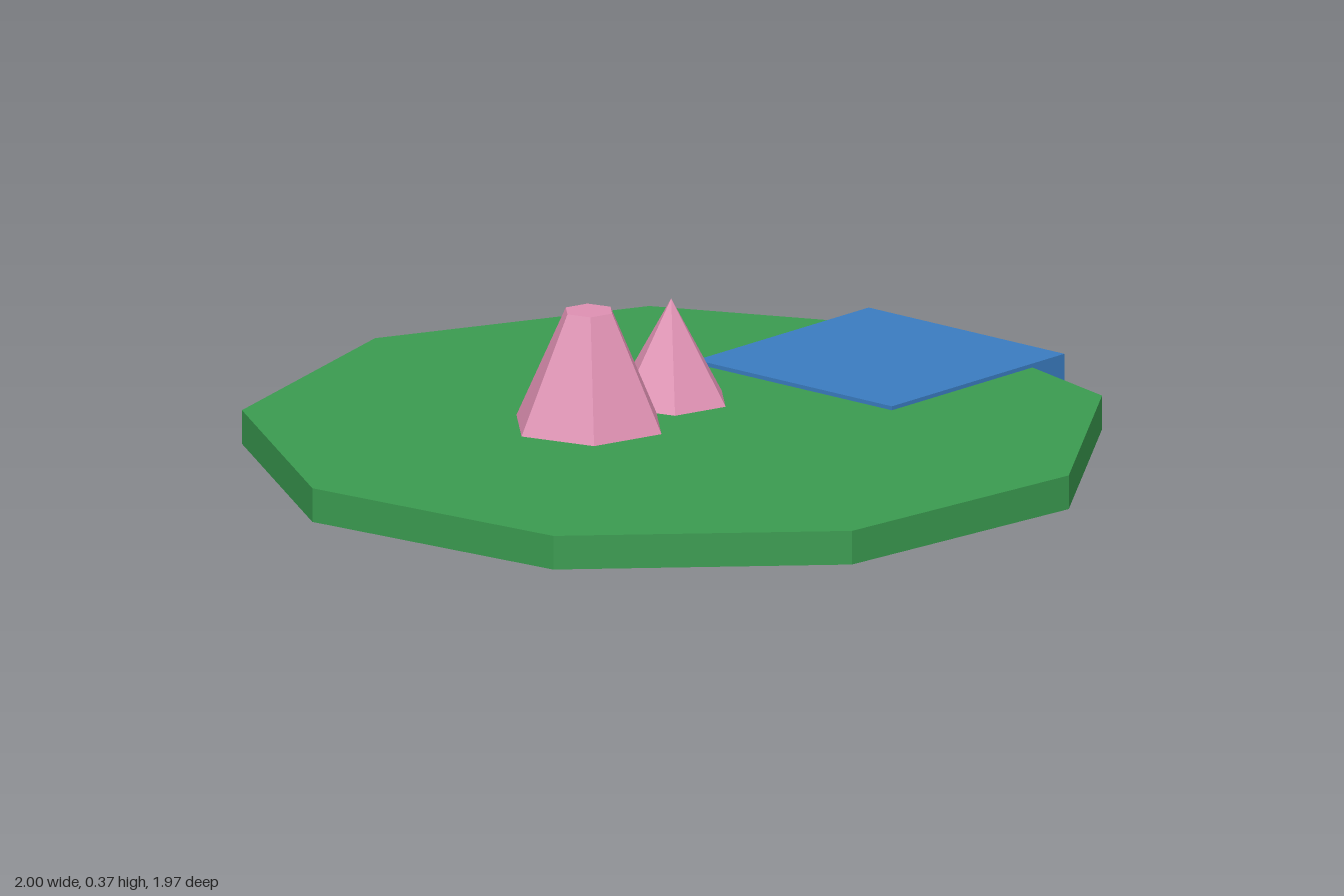
import * as THREE from 'three';

const flat = (name, color) => {
  const m = new THREE.MeshStandardMaterial({ color, flatShading: true });
  m.name = name;
  return m;
};

export function createModel() {
  const model = new THREE.Group();
  model.name = 'island';
  const green = flat('grass green', 0x3a9b50);
  const blue = flat('water blue', 0x3a7cc0);
  const pink = flat('rock pink', 0xde90b2);

  const add = (name, geometry, material, x, y, z, turn = 0) => {
    const mesh = new THREE.Mesh(geometry, material);
    mesh.name = name;
    mesh.position.set(x, y, z);
    mesh.rotation.y = turn;
    model.add(mesh);
  };

  // Nine-sided ground slab, one corner pointing back
  add('ground', new THREE.CylinderGeometry(1.015, 1.015, 0.081, 9), green, 0, 0.052, 0.03, Math.PI);

  // Square pond block turned 45 degrees, overhanging the rim
  add('pond', new THREE.BoxGeometry(0.605, 0.102, 0.605), blue, 0.505, 0.051, -0.478, Math.PI / 4);

  // Six-sided hills: a truncated one and a pointed one
  const base = 0.092;
  const hill = (name, top, bottom, peak, x, z) =>
    add(name, new THREE.CylinderGeometry(top, bottom, peak - base, 6), pink, x, (peak + base) / 2, z);
  hill('largeHill', 0.06, 0.188, 0.367, -0.204, 0.028);
  hill('smallHill', 0, 0.141, 0.336, 0, -0.175);

  return model;
}
